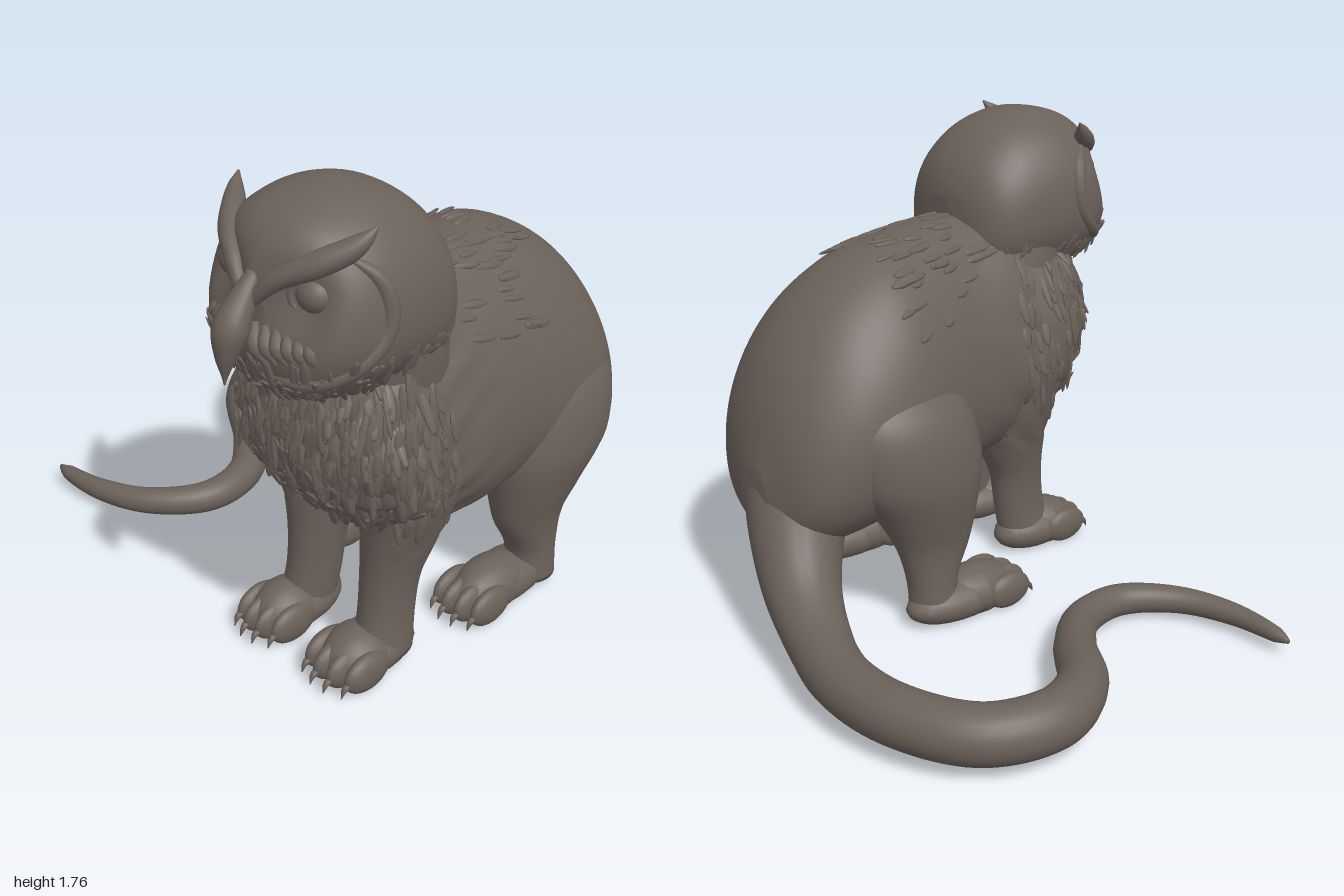
import * as THREE from 'three';
import { mergeGeometries } from 'three/addons/utils/BufferGeometryUtils.js';

const V = (x, y, z) => new THREE.Vector3(x, y, z);
const fur = new THREE.MeshStandardMaterial({ color: 0x6b615a });
fur.name = 'warm grey brown';

let seed = 7;
const rand = () => (seed = (seed * 16807) % 2147483647) / 2147483647;

// Smooth interpolation through rows of numbers, t in 0..1
function sample(rows, t) {
  const s = t * (rows.length - 1), i = Math.min(Math.floor(s), rows.length - 2), f = s - i;
  const at = k => rows[Math.max(0, Math.min(rows.length - 1, k))];
  return rows[i].map((b, k) => {
    const a = at(i - 1)[k], c = at(i + 1)[k], d = at(i + 2)[k];
    return b + 0.5 * f * (c - a + f * (2 * a - 5 * b + 4 * c - d + f * (3 * (b - c) + d - a)));
  });
}

// Closed skin over rings; point(t, angle) gives the surface
function skin(point, rings, sides, warp) {
  const pos = [], idx = [], last = rings * sides;
  const middle = [V(0, 0, 0), V(0, 0, 0)];
  for (let i = 0; i < rings; i++) for (let j = 0; j < sides; j++) {
    const p = point(i / (rings - 1), (j / sides) * Math.PI * 2);
    if (warp) warp(p);
    if (i === 0) middle[0].addScaledVector(p, 1 / sides);
    if (i === rings - 1) middle[1].addScaledVector(p, 1 / sides);
    pos.push(p.x, p.y, p.z);
    const a = i * sides + j, b = i * sides + (j + 1) % sides;
    if (i < rings - 1) idx.push(a, b, a + sides, b, b + sides, a + sides);
    if (i === 0) idx.push(last, b, a);
    if (i === rings - 1) idx.push(last + 1, a, b);
  }
  middle.forEach(m => pos.push(m.x, m.y, m.z));
  const g = new THREE.BufferGeometry();
  g.setAttribute('position', new THREE.Float32BufferAttribute(pos, 3));
  g.setIndex(idx);
  g.computeVertexNormals();
  return g;
}

// Upright sections along z: rows of [z, centre x, top, bottom, half width]
const trunk = (rows, power, egg, warp) => skin((t, a) => {
  const [z, cx, top, low, w] = sample(rows, t);
  const e = v => Math.sign(v) * Math.abs(v) ** power;
  const s = e(Math.sin(a));
  return V(cx + w * e(Math.cos(a)) * (1 - egg * s), (top + low) / 2 + (top - low) / 2 * s, z);
}, 80, 80, warp);

// Level sections along y: rows of [y, x, z, radius x, radius z]
const limb = (rows, warp) => skin((t, a) => {
  const [y, x, z, rx, rz] = sample(rows, t);
  return V(x + rx * Math.sin(a), y, z + rz * Math.cos(a));
}, 36, 28, warp);

// Tapered tube through points of [x, y, z, radius]
function taper(points, rings = 24, sides = 12) {
  const curve = new THREE.CatmullRomCurve3(points.map(p => V(p[0], p[1], p[2])));
  const fr = curve.computeFrenetFrames(rings - 1);
  return skin((u, a) => {
    const i = Math.round(u * (rings - 1)), t = curve.getUtoTmapping(u), r = sample(points, t)[3];
    return curve.getPoint(t).addScaledVector(fr.normals[i], r * Math.cos(a))
      .addScaledVector(fr.binormals[i], r * Math.sin(a));
  }, rings, sides);
}

// Ellipsoid flattened where it meets the ground
function ball(x, y, z, rx, ry, rz) {
  const g = new THREE.SphereGeometry(1, 20, 14).scale(rx, ry, rz).translate(x, y, z);
  g.deleteAttribute('uv');
  const p = g.attributes.position;
  for (let i = 0; i < p.count; i++) p.setY(i, Math.max(0.01, p.getY(i)));
  g.computeVertexNormals();
  return g;
}

// Slim tufts lying on a surface, where(p) gives chance and flow direction
function feathers(source, where) {
  const out = [], P = source.attributes.position, N = source.attributes.normal;
  for (let i = 0; i < P.count; i++) {
    const p = V(0, 0, 0).fromBufferAttribute(P, i), n = V(0, 0, 0).fromBufferAttribute(N, i);
    const [chance, flow] = where(p);
    if (rand() > chance) continue;
    const d = flow.clone().addScaledVector(n, -flow.dot(n));
    d.x += (rand() - 0.5) * 0.45;
    d.normalize().addScaledVector(n, 0.06).normalize();
    const side = V(0, 0, 0).crossVectors(d, n).normalize();
    const up = V(0, 0, 0).crossVectors(side, d);
    const len = 0.04 + rand() * 0.05;
    const m = new THREE.Matrix4().makeBasis(side, d, up).setPosition(p);
    out.push(new THREE.SphereGeometry(1, 7, 5).scale(0.01 + rand() * 0.012, len, 0.009).applyMatrix4(m));
  }
  return mergeGeometries(out);
}

export function createModel() {
  const model = new THREE.Group();
  model.name = 'owlHeadedBeast';
  const add = (name, ...geos) => {
    const mesh = new THREE.Mesh(geos.length > 1 ? mergeGeometries(geos) : geos[0], fur);
    mesh.name = name;
    model.add(mesh);
  };

  // Body with ruffled chest and smooth rump
  const body = trunk([
    [-0.815, 0.4, 0.68, 0.48, 0.08], [-0.75, 0.43, 0.92, 0.4, 0.26], [-0.65, 0.45, 1.11, 0.35, 0.365],
    [-0.5, 0.46, 1.265, 0.35, 0.425], [-0.3, 0.47, 1.37, 0.38, 0.435], [-0.1, 0.5, 1.4, 0.42, 0.405],
    [0.1, 0.53, 1.41, 0.42, 0.38], [0.3, 0.54, 1.41, 0.47, 0.37], [0.5, 0.55, 1.39, 0.57, 0.37],
    [0.63, 0.57, 1.32, 0.7, 0.31], [0.72, 0.58, 1.2, 0.82, 0.2], [0.755, 0.58, 1.06, 0.92, 0.07],
  ], 0.95, 0.14, p => {
    const k = THREE.MathUtils.smoothstep(p.z, -0.05, 0.35) * 0.011;
    const n = Math.sin(p.x * 38 + 3 * Math.sin(p.y * 9)) * Math.sin(p.y * 17 + p.z * 21);
    p.x += k * n * Math.sign(p.x - 0.55);
    p.z += k * n;
  });
  add('body', body);
  const down = V(0, -1, 0), back = V(0, -0.3, -1);
  add('bodyFeathers', feathers(body, p =>
    p.z > 0.28 && p.y < 1.25 ? [0.27, down]
      : p.y > 1.12 && p.z > -0.28 && p.z < 0.2 ? [0.12, back] : [0, down]));

  // Neck and rounded head with a hollow around each eye
  const mid = 0.58;
  add('neck', limb([[1.05, 0.56, 0.4, 0.3, 0.3], [1.2, 0.57, 0.42, 0.31, 0.28], [1.35, mid, 0.46, 0.3, 0.28],
    [1.48, mid, 0.48, 0.28, 0.26]]));
  const head = trunk([
    [0.185, mid, 1.48, 1.3, 0.07], [0.2, mid, 1.54, 1.22, 0.16], [0.235, mid, 1.61, 1.17, 0.235],
    [0.3, mid, 1.68, 1.14, 0.29], [0.4, mid, 1.742, 1.13, 0.32], [0.53, mid, 1.772, 1.13, 0.333],
    [0.65, mid, 1.762, 1.14, 0.33], [0.75, mid, 1.73, 1.17, 0.3], [0.82, mid, 1.67, 1.2, 0.24],
    [0.86, mid, 1.59, 1.28, 0.13], [0.87, mid, 1.52, 1.36, 0.05],
  ], 0.9, 0.08, p => {
    const d = Math.hypot(Math.abs(p.x - mid) - 0.165, p.y - 1.52);
    if (p.z > 0.6) p.z -= 0.06 * Math.exp(-((d / 0.11) ** 2));
  });
  add('head', head);
  add('headRuff', feathers(head, p => [p.y < 1.29 && p.z > 0.28 ? 0.16 : 0, V(0, -1, -0.1)]));

  // Face parts on both sides
  for (const s of [-1, 1]) {
    const side = s > 0 ? 'left' : 'right', X = x => mid + s * x;
    add(side + 'Eye', ball(X(0.165), 1.53, 0.755, 0.064, 0.058, 0.06));
    add(side + 'EyeRim', new THREE.TorusGeometry(0.066, 0.012, 8, 28).rotateY(s * 0.5).translate(X(0.168), 1.53, 0.775));
    add(side + 'Brow', taper([[X(0.02), 1.5, 0.87, 0.022], [X(0.09), 1.575, 0.835, 0.032], [X(0.18), 1.63, 0.77, 0.04],
      [X(0.245), 1.675, 0.7, 0.036], [X(0.275), 1.71, 0.665, 0.022], [X(0.29), 1.74, 0.64, 0.004]]));
    add(side + 'FaceRim', taper([[X(0.23), 1.65, 0.7, 0.012], [X(0.3), 1.57, 0.63, 0.026], [X(0.32), 1.43, 0.62, 0.03],
      [X(0.28), 1.32, 0.71, 0.032], [X(0.18), 1.265, 0.81, 0.028], [X(0.06), 1.26, 0.845, 0.012]]));
    const whiskers = [];
    for (let i = 0; i < 6; i++) {
      const x = 0.025 + i * 0.032, z = 0.885 - i * 0.014;
      whiskers.push(taper([[X(x), 1.43 - i * 0.006, z - 0.02, 0.014], [X(x + 0.02), 1.37, z + 0.005, 0.023],
        [X(x + 0.05), 1.31 + i * 0.004, z - 0.01, 0.003]], 8, 7));
    }
    add(side + 'Whiskers', ...whiskers);
  }
  add('beak', taper([[mid, 1.57, 0.84, 0.025], [mid, 1.5, 0.89, 0.042], [mid, 1.42, 0.938, 0.056],
    [mid, 1.345, 0.957, 0.036], [mid, 1.25, 0.966, 0.003]], 28, 18));
  const chin = [];
  for (let i = -4; i <= 4; i++) {
    const x = mid + i * 0.035, z = 0.825 - Math.abs(i) * 0.012;
    chin.push(taper([[x, 1.29, z - 0.01, 0.016], [x, 1.23, z + 0.005, 0.022], [x, 1.165 + Math.abs(i) * 0.004, z - 0.01, 0.003]], 8, 7));
  }
  add('chinTuft', ...chin);

  // Legs, given for the right side and mirrored about their own centre line
  const front = [[0.06, 0.34, 0.42, 0.09, 0.12], [0.2, 0.355, 0.395, 0.088, 0.11], [0.35, 0.36, 0.38, 0.095, 0.115],
    [0.5, 0.355, 0.35, 0.12, 0.15], [0.7, 0.335, 0.335, 0.15, 0.185], [0.9, 0.33, 0.335, 0.14, 0.18], [1.1, 0.36, 0.36, 0.06, 0.09]];
  const hind = [[0.05, 0.08, -0.29, 0.09, 0.1], [0.18, 0.095, -0.29, 0.09, 0.1], [0.32, 0.11, -0.27, 0.105, 0.155],
    [0.46, 0.115, -0.29, 0.14, 0.21], [0.62, 0.12, -0.33, 0.17, 0.275], [0.8, 0.145, -0.355, 0.175, 0.275],
    [0.92, 0.18, -0.37, 0.14, 0.22], [1.02, 0.23, -0.38, 0.06, 0.09]];
  const mirror = (rows, axis, lean) => rows.map(([y, x, ...r]) => [y, 2 * axis - x - lean * Math.max(0, 0.6 - y), ...r]);
  const ruffle = p => { if (p.y > 0.5) p.x += 0.006 * Math.sin(p.z * 45 + 3 * Math.sin(p.y * 12)); };
  const frontLegs = { right: limb(front, ruffle), left: limb(mirror(front, 0.54, 0.05), ruffle) };
  for (const k in frontLegs) {
    add(k + 'FrontLeg', frontLegs[k]);
    add(k + 'FrontLegFeathers', feathers(frontLegs[k], p => [p.y > 0.6 && p.y < 1 ? 0.16 : 0, down]));
  }
  add('rightHindLeg', limb(hind.map(([y, x, z, ...r]) => [y, x, z + 0.035, ...r])));
  add('leftHindLeg', limb(mirror(hind, 0.45, 0.08)));

  // Paws: sole, instep, four toes and claws
  function paw(name, x, zBack, zFront, w) {
    const len = zFront - zBack;
    const parts = [ball(x, 0.075, zBack + len * 0.46, w * 0.9, 0.085, len * 0.46),
      ball(x, 0.08, zBack + len * 0.58, w * 0.88, 0.1, len * 0.33)];
    for (let i = 0; i < 4; i++) {
      const o = (i - 1.5) / 1.5, tx = x + o * w * 0.72, tz = zFront - 0.09 - Math.abs(o) * 0.035;
      parts.push(ball(tx, 0.075, tz, w * 0.3, 0.07, 0.1));
      parts.push(taper([[tx, 0.07, tz + 0.075, 0.014], [tx, 0.06, tz + 0.105, 0.011], [tx, 0.03, tz + 0.12, 0.002]], 8, 8));
    }
    add(name, ...parts);
  }
  paw('rightFrontPaw', 0.34, 0.27, 0.69, 0.12);
  paw('leftFrontPaw', 0.69, 0.27, 0.69, 0.13);
  paw('rightHindPaw', 0.075, -0.38, 0.15, 0.13);
  paw('leftHindPaw', 0.755, -0.41, 0.13, 0.12);

  // Tail curling forward over the ground
  add('tail', taper([
    [0.45, 0.68, -0.54, 0.25], [0.36, 0.48, -0.66, 0.19], [0.2, 0.29, -0.76, 0.145], [0, 0.185, -0.83, 0.118],
    [-0.25, 0.155, -0.895, 0.106], [-0.55, 0.155, -0.87, 0.104], [-0.79, 0.155, -0.73, 0.103], [-0.865, 0.155, -0.5, 0.102],
    [-0.76, 0.14, -0.28, 0.09], [-0.53, 0.11, -0.1, 0.077], [-0.38, 0.09, 0.08, 0.067], [-0.36, 0.085, 0.28, 0.06],
    [-0.5, 0.08, 0.46, 0.051], [-0.7, 0.075, 0.545, 0.042], [-0.9, 0.07, 0.56, 0.028], [-0.955, 0.07, 0.555, 0.008],
  ], 120, 24));
  return model;
}
